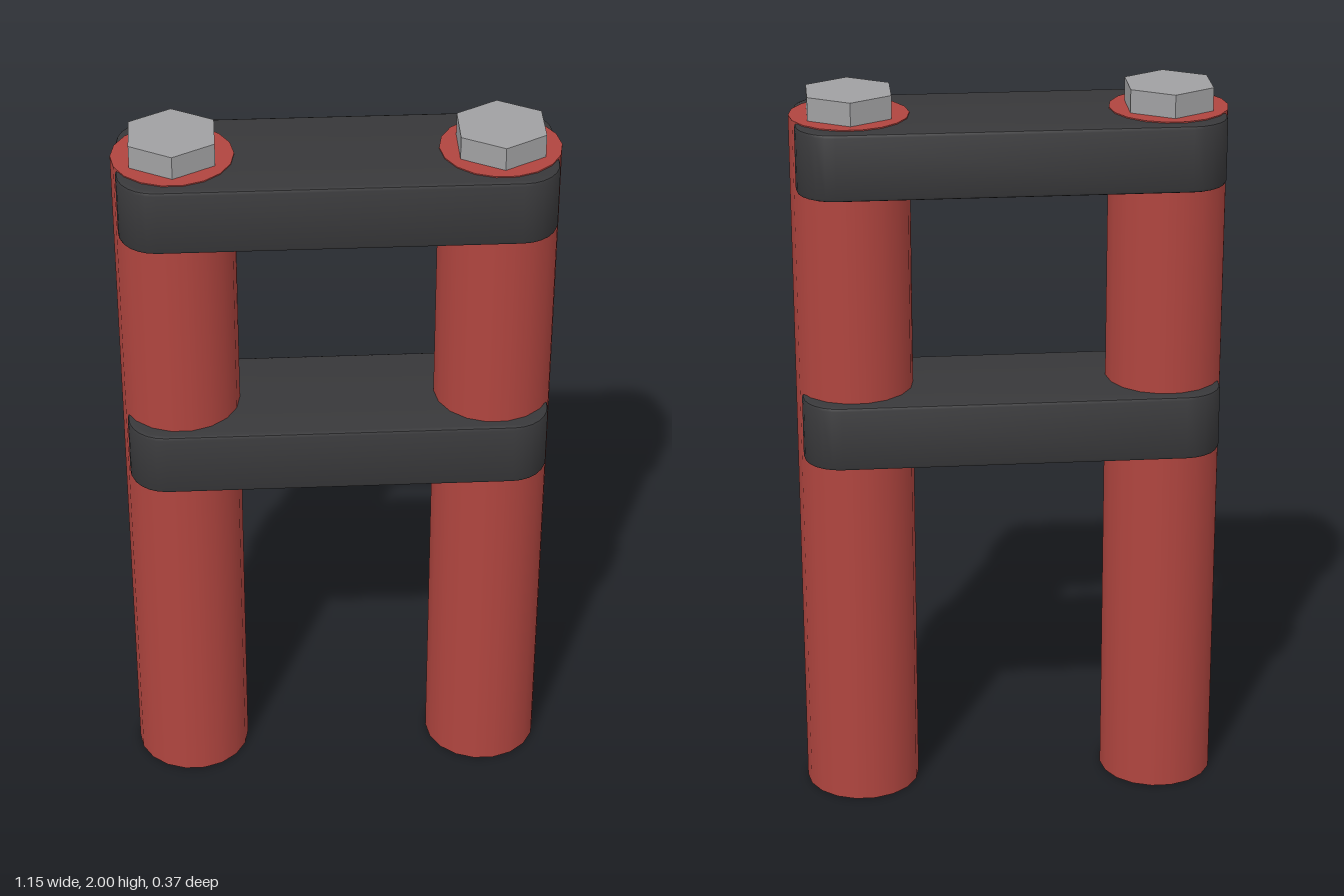
import * as THREE from 'three';
import { toCreasedNormals } from 'three/addons/utils/BufferGeometryUtils.js';

const POST_X = 0.417, POST_R = 0.157, POST_H = 1.938;

// Rounded rectangle outline for the clamp bars
function barOutline(hx, hz, r) {
  const s = new THREE.Shape();
  s.absarc(hx - r, hz - r, r, 0, Math.PI / 2);
  s.absarc(-hx + r, hz - r, r, Math.PI / 2, Math.PI);
  s.absarc(-hx + r, -hz + r, r, Math.PI, Math.PI * 1.5);
  s.absarc(hx - r, -hz + r, r, Math.PI * 1.5, Math.PI * 2);
  s.closePath();
  return s;
}

export function createModel() {
  const group = new THREE.Group();
  const red = new THREE.MeshStandardMaterial({ color: 0xb0453f });
  const black = new THREE.MeshStandardMaterial({ color: 0x38383a });
  const steel = new THREE.MeshStandardMaterial({ color: 0xa0a0a2, flatShading: true });

  const add = (name, geometry, material, x, y) => {
    const mesh = new THREE.Mesh(geometry, material);
    mesh.name = name;
    mesh.position.set(x, y, 0);
    group.add(mesh);
  };

  // Two round posts, each with a hexagonal bolt head on top
  const post = new THREE.CylinderGeometry(POST_R, POST_R, POST_H, 18, 1, false, Math.PI / 2);
  const bolt = new THREE.CylinderGeometry(0.125, 0.125, 2 - POST_H, 6);
  for (const [side, sx] of [['left', 1], ['right', -1]]) {
    add(side + 'Post', post, red, sx * POST_X, POST_H / 2);
    add(side + 'BoltHead', bolt, steel, sx * POST_X, (2 + POST_H) / 2);
  }

  // Two bevelled bars clamping the posts together
  const height = 0.18, bevel = 0.01;
  let bar = new THREE.ExtrudeGeometry(barOutline(0.56 - bevel, 0.186 - bevel, 0.09), {
    depth: height - 2 * bevel, bevelEnabled: true, bevelSize: bevel,
    bevelThickness: bevel, bevelSegments: 2, curveSegments: 3,
  });
  bar.translate(0, 0, bevel - height / 2);
  bar.rotateX(-Math.PI / 2);
  bar = toCreasedNormals(bar, 0.6);
  add('upperBar', bar, black, 0, 1.845);
  add('lowerBar', bar, black, 0, 1.1);

  return group;
}
